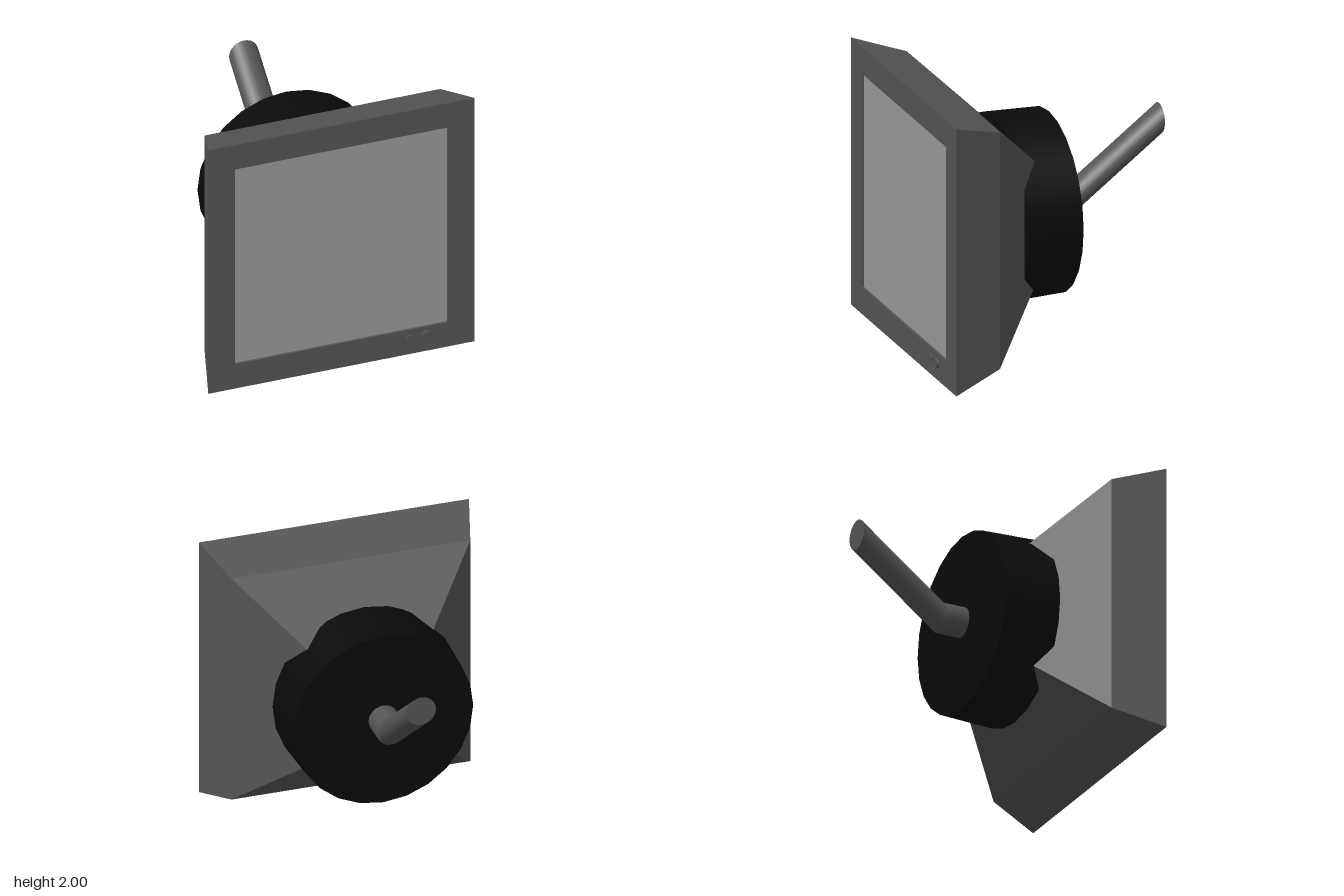
import * as THREE from 'three';

const v2 = (x, y) => new THREE.Vector2(x, y);

function faceted(geometry) {
  const g = geometry.index ? geometry.toNonIndexed() : geometry;
  g.computeVertexNormals();
  return g;
}

export function createModel() {
  const group = new THREE.Group();
  const casingMat = new THREE.MeshStandardMaterial({ color: 0x555555, flatShading: true });
  const rodMat = new THREE.MeshStandardMaterial({ color: 0x555555 });
  const screenMat = new THREE.MeshStandardMaterial({ color: 0x9a9a9a });
  const blackMat = new THREE.MeshStandardMaterial({ color: 0x0a0a0a });

  function add(name, geometry, material, x = 0, y = 0, z = 0) {
    const mesh = new THREE.Mesh(geometry, material);
    mesh.name = name;
    mesh.position.set(x, y, z);
    group.add(mesh);
    return mesh;
  }

  const FRONT = 0.955, RECESS = 0.02, AXIS = 0.98;

  // Casing: square lathe from the hidden back cap to the recessed front, [half width, z]
  const profile = [[0, 0.05], [0.37, 0.05], [0.885, 0.58], [1, FRONT],
    [0.8, FRONT], [0.8, FRONT - RECESS], [0, FRONT - RECESS]]
    .map(([half, z]) => v2(half * Math.SQRT2, z));
  const casing = new THREE.LatheGeometry(profile, 4, Math.PI / 4).rotateX(Math.PI / 2);
  add('casing', faceted(casing), casingMat, 0, 1, 0);

  // Screen panel at the bottom of the recess
  add('screen', new THREE.PlaneGeometry(1.6, 1.6), screenMat, 0, 1, FRONT - RECESS + 0.003);

  // Two round buttons on the lower bezel
  for (const [name, x, r, depth] of [['smallButton', 0.515, 0.028, 0.012], ['largeButton', 0.64, 0.04, 0.022]]) {
    const button = new THREE.CylinderGeometry(r, r, depth, 20).rotateX(Math.PI / 2);
    add(name, button, casingMat, x, 0.13, FRONT + depth / 2);
  }

  // Round rear housing, slightly tapered towards the back
  const housing = new THREE.CylinderGeometry(0.68, 0.665, 0.42, 24).rotateX(Math.PI / 2);
  add('rearHousing', housing, blackMat, 0, AXIS, 0.07);

  // Mounting arm: straight stub, then a length sheared upwards with a vertical end
  function armPart(name, zFront, zBack, rise) {
    const length = zFront - zBack;
    const g = new THREE.CylinderGeometry(0.11, 0.11, length, 24).rotateX(Math.PI / 2);
    const shear = new THREE.Matrix4().set(
      1, 0, 0, 0,
      0, 1, -rise / length, 0,
      0, 0, 1, 0,
      0, 0, 0, 1);
    g.applyMatrix4(shear);
    add(name, g, rodMat, 0, AXIS + rise / 2, (zFront + zBack) / 2);
  }
  armPart('armStub', -0.1, -0.32, 0);
  armPart('armRod', -0.32, -0.975, 0.5);

  return group;
}
